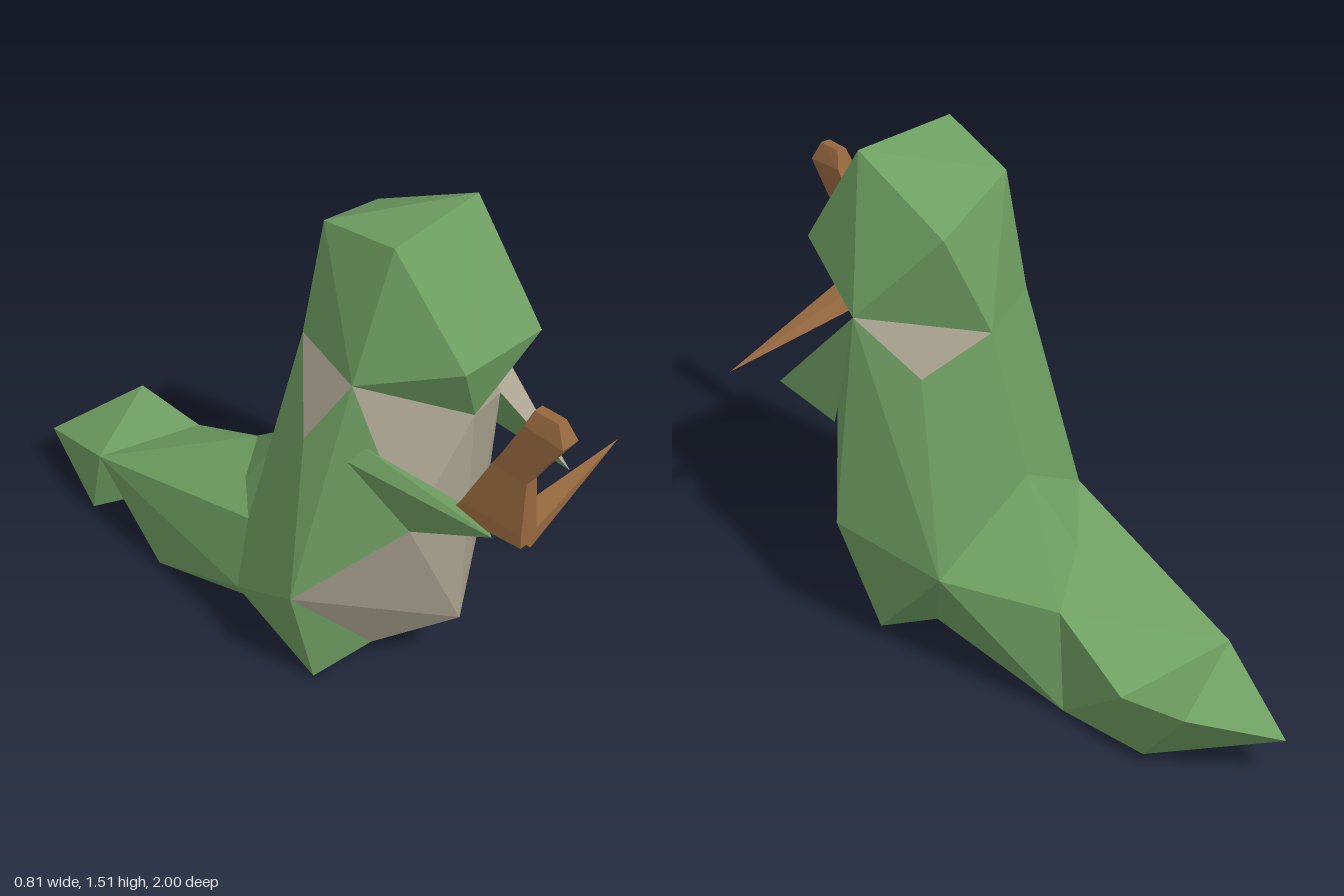
import * as THREE from 'three';
import { ConvexGeometry } from 'three/addons/geometries/ConvexGeometry.js';

const COLORS = { green: 0x6f9f62, cream: 0xaaa390, brown: 0x96683f };
const mats = {};
for (const k in COLORS) {
  mats[k] = new THREE.MeshStandardMaterial({ color: COLORS[k], flatShading: true, roughness: 1, side: THREE.DoubleSide });
}
const V = (x, y, z) => new THREE.Vector3(x, y, z);

// Shared joints of the body
const chin = V(-0.02, 0.99, 0.58), belly = V(-0.015, 0.25, 0.55);
const cheekL = V(0.28, 1.08, 0.3), cheekR = V(-0.27, 1.11, 0.37);
const nape = V(0.03, 1.07, 0), skullBack = V(-0.18, 1.1, 0.1);
const shoulderL = V(0.2, 0.94, 0.1), shoulderR = V(-0.32, 0.89, 0.24);
const armpitL = V(0.2, 0.89, 0.48), armpitR = V(-0.2, 0.66, 0.52);
const hipL = V(0.33, 0.41, 0.34), hipR = V(-0.405, 0.39, 0.27);
const footL = V(0.24, 0.05, 0.26), footR = V(-0.29, 0.01, 0.245);
const crotch = V(-0.13, 0.085, 0.32), seat = V(0.1, 0.06, 0.17);
const back = V(-0.05, 0.61, -0.06);
const rumpL = V(0.25, 0.36, -0.03), rumpR = V(-0.3, 0.46, 0), rumpLow = V(-0.33, 0.21, -0.02);

// Shared joints of the tail
const midTop = V(0.08, 0.345, -0.35), midLow = V(0.08, 0.02, -0.37), midSide = V(-0.27, 0.02, -0.42);
const endL = V(0.1, 0.22, -0.63), endLow = V(0.03, 0.005, -0.65), endTop = V(-0.26, 0.275, -0.68);

// Faceted solid around some joints; a face lying wholly in a patch takes the patch colour
function solid(name, points, color, patches = []) {
  const pos = new ConvexGeometry(points).getAttribute('position');
  const buckets = {};
  const corner = new THREE.Vector3();
  for (let i = 0; i < pos.count; i += 3) {
    const has = (set, k) => {
      corner.fromBufferAttribute(pos, i + k);
      return set.some(p => p.distanceTo(corner) < 1e-4);
    };
    const patch = patches.find(p => [0, 1, 2].every(k => has(p.points, k)));
    const list = (buckets[patch ? patch.color : color] ??= []);
    for (let k = 0; k < 3; k++) list.push(pos.getX(i + k), pos.getY(i + k), pos.getZ(i + k));
  }
  const group = new THREE.Group();
  group.name = name;
  for (const c in buckets) {
    const geo = new THREE.BufferGeometry();
    geo.setAttribute('position', new THREE.Float32BufferAttribute(buckets[c], 3));
    geo.computeVertexNormals();
    const mesh = new THREE.Mesh(geo, mats[c]);
    mesh.name = `${name}_${c}`;
    group.add(mesh);
  }
  return group;
}

// Rectangular section of the stick at one height
const section = (y, x0, x1, z0, z1, tilt = 0) => [
  V(x0, y, z0), V(x1, y, z0), V(x1, y + tilt, z1), V(x0, y + tilt, z1),
];

export function createModel() {
  const model = new THREE.Group();
  model.name = 'creature';

  // Torso with pale belly and collar
  const front = [chin, belly, hipL, hipR, crotch, footL, armpitL, armpitR];
  const collar = [chin, cheekL, cheekR, armpitL, armpitR, shoulderL, shoulderR, nape, skullBack];
  model.add(solid('torso',
    [chin, belly, cheekL, cheekR, nape, skullBack, shoulderL, shoulderR, armpitL, armpitR,
      hipL, hipR, footL, crotch, seat, back, rumpL, rumpR, rumpLow],
    'green', [{ color: 'cream', points: front }, { color: 'cream', points: collar }]));
  model.add(solid('rightFoot', [hipR, footR, crotch, rumpLow, seat], 'green'));

  // Head
  model.add(solid('head', [
    V(-0.17, 1.52, 0.42), V(0.17, 1.52, 0.4), V(-0.12, 1.2, 0.63), V(0.19, 1.18, 0.62),
    V(-0.14, 1.46, 0.14), V(0.14, 1.36, 0.07), chin, cheekL, cheekR, nape, skullBack,
  ], 'green'));

  // Arms
  const handL = V(0.26, 0.7, 0.69);
  model.add(solid('leftArm', [cheekL, armpitL, V(0.28, 0.7, 0.4), handL], 'green',
    [{ color: 'cream', points: [cheekL, armpitL, handL] }]));
  model.add(solid('rightArm', [shoulderR, V(-0.26, 0.92, 0.4), armpitR, V(-0.19, 0.8, 0.8), V(-0.13, 0.79, 0.72)], 'green'));

  // Tail in three faceted lengths
  model.add(solid('tailBase', [back, rumpL, rumpR, rumpLow, seat, crotch, midTop, midLow, midSide], 'green',
    [{ color: 'brown', points: [seat, crotch, midSide, midLow] }]));
  model.add(solid('tailMiddle', [rumpR, rumpLow, midTop, midLow, midSide, endL, endLow, endTop], 'green'));
  model.add(solid('tailTip', [
    endL, endLow, endTop, V(-0.22, 0.005, -0.77), V(0.08, 0.26, -0.86), V(-0.17, 0.155, -1),
  ], 'green'));

  // Stick: sections from grip to tip, joined pair by pair
  const sections = [
    section(0.79, -0.18, -0.11, 0.64, 0.89, 0.02),
    section(0.85, -0.18, -0.12, 0.68, 0.89),
    section(1.02, -0.17, -0.13, 0.77, 0.89),
    section(1.07, -0.17, -0.12, 0.8, 0.92),
    section(1.2, -0.17, -0.11, 0.87, 1, -0.01),
    section(1.25, -0.155, -0.125, 0.89, 0.97),
  ];
  const stick = new THREE.Group();
  stick.name = 'stick';
  for (let i = 0; i + 1 < sections.length; i++) {
    stick.add(solid(`stickLength${i + 1}`, [...sections[i], ...sections[i + 1]], 'brown'));
  }
  // Long thorn across the front
  stick.add(solid('thorn', [
    V(-0.14, 0.79, 0.78), V(-0.14, 0.79, 0.89), V(-0.11, 0.84, 0.8), V(-0.11, 0.83, 0.88), V(0.4, 0.76, 0.74),
  ], 'brown'));
  model.add(stick);
  return model;
}
